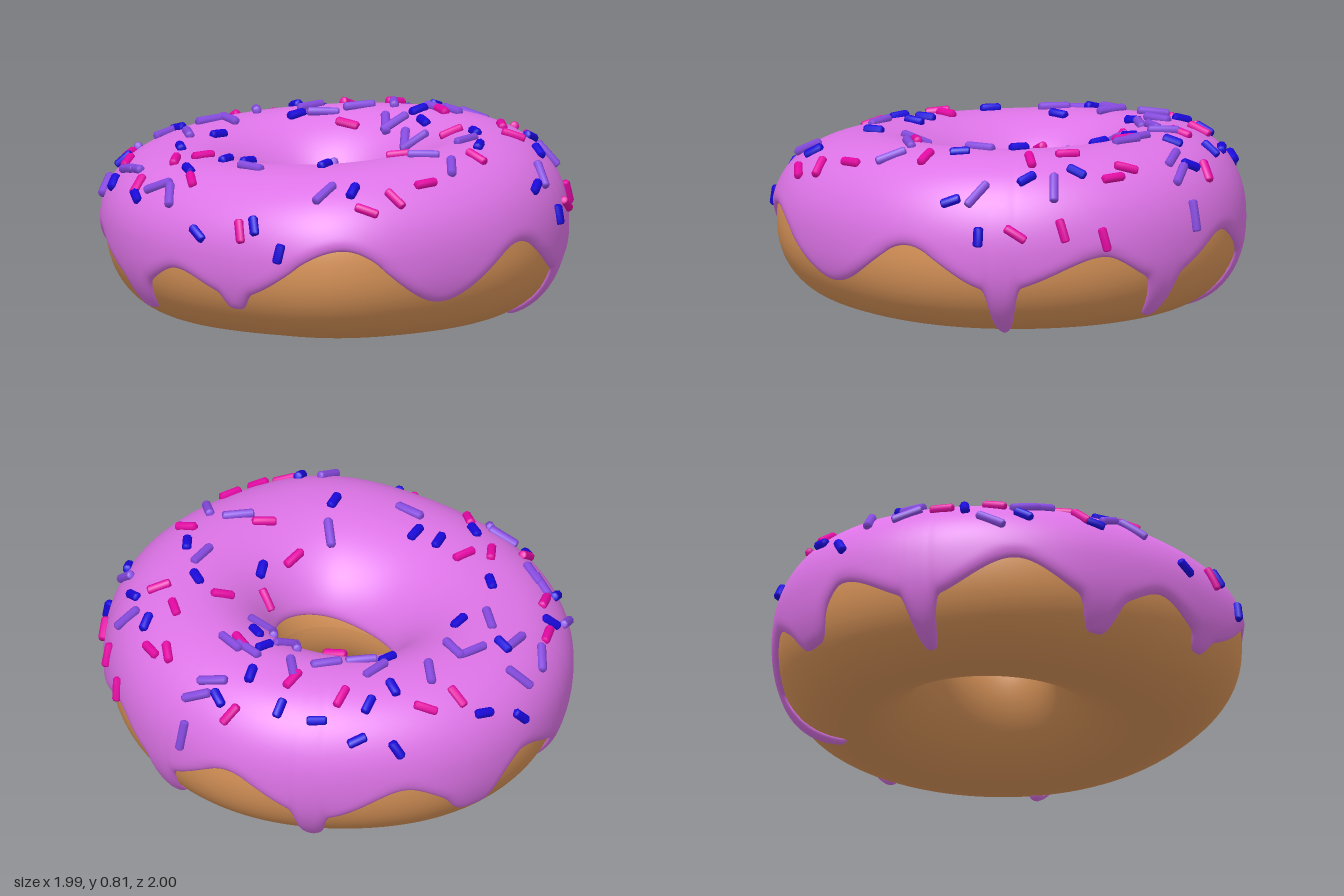
import * as THREE from 'three';

const RAD = Math.PI / 180;
const MID_Y = 0.395, ICING = 0.025;

const material = (name, color) => {
  const m = new THREE.MeshStandardMaterial({ color });
  m.name = name;
  return m;
};

// Smooth bump of height 1 around one direction of the ring
const bump = (theta, deg, sharp) => Math.exp(sharp * (Math.cos(theta - deg * RAD) - 1));

// Ring section at angle theta (0 = front, 90 = +x): centre radius, half width and heights of the dough
function section(theta) {
  const s = Math.sin(theta), c = Math.cos(theta);
  const outer = 1 / Math.hypot(s / 0.953, c / 0.975)
    + 0.07 * bump(theta, -53, 13) - 0.03 * bump(theta, 130, 8);
  const inner = 1 / Math.hypot(s / 0.23, c / 0.275) + 0.025 * s - 0.01 * c;
  // The back left sinks at the top and sags at the bottom
  const up = 0.373 - 0.075 * ((1 - Math.cos(theta - 45 * RAD)) / 2) ** 1.5;
  const down = 0.365 + 0.02 * Math.max(0, Math.cos(theta - 200 * RAD));
  return { mid: (outer + inner) / 2, half: (outer - inner) / 2, up, down };
}

// Surface point: phi runs 0 = outer side, 90 = top, 180 = hole, -90 = bottom
function surface(theta, phi, lift = 0) {
  const { mid, half, up, down } = section(theta);
  const c = Math.cos(phi), s = Math.sin(phi);
  const n = c > 0 ? 2.2 : 1.9, tall = s > 0 ? up : down;
  const pow = (v, e) => Math.sign(v) * Math.abs(v) ** e;
  const nr = pow(c, 2 - 2 / n) / half, ny = pow(s, 2 - 2 / n) / tall;
  const len = Math.hypot(nr, ny);
  const r = mid + half * pow(c, 2 / n) + lift * nr / len;
  const y = MID_Y + tall * pow(s, 2 / n) + lift * ny / len;
  const sx = Math.sin(theta), cz = Math.cos(theta);
  return {
    point: new THREE.Vector3(r * sx, y, r * cz),
    normal: new THREE.Vector3(nr * sx, ny, nr * cz).normalize(),
  };
}

// Grid closed around theta; at(i, j) gives the point in column i, row j
function ringGrid(cols, rows, at) {
  const pos = [], index = [];
  for (let i = 0; i < cols; i++) {
    for (let j = 0; j <= rows; j++) pos.push(...at(i, j).toArray());
  }
  for (let i = 0; i < cols; i++) {
    for (let j = 0; j < rows; j++) {
      const a = i * (rows + 1) + j, b = ((i + 1) % cols) * (rows + 1) + j;
      index.push(a, b, b + 1, a, b + 1, a + 1);
    }
  }
  const g = new THREE.BufferGeometry();
  g.setAttribute('position', new THREE.Float32BufferAttribute(pos, 3));
  g.setIndex(index);
  g.computeVertexNormals();
  return g;
}

// Wavy icing edge: peaks and troughs as [theta, phi] in degrees
const WAVES = [[-50, 11], [-24, -26], [1, 4], [24, -22], [52, -1], [70, -20], [93, 2], [118, -25],
  [140, -4], [161, -28], [175, -4], [198, -26], [222, -3], [246, -26], [264, -8], [282, -22], [310, 11]];
// Narrow runs of icing: [theta, half width, phi of the tip]
const DRIPS = [[25.5, 3.4, -72], [70.5, 4, -54], [115, 3.6, -82], [160, 6.5, -34],
  [197, 3.6, -64], [246, 5, -46], [282, 3.6, -32]];

function edgePhi(deg) {
  const t = ((deg + 50) % 360 + 360) % 360 - 50;
  const k = Math.max(1, WAVES.findIndex((w) => w[0] >= t));
  const [a, b] = [WAVES[k - 1], WAVES[k]];
  let phi = a[1] + (b[1] - a[1]) * THREE.MathUtils.smoothstep(t, a[0], b[0]);
  for (const [at, w, tip] of DRIPS) phi += (tip - phi) * Math.exp(-(((t - at) / w) ** 4));
  return phi * RAD;
}

function icingGeometry() {
  const COLS = 720, ROWS = 52, ROUND = 0.05;
  const step = 2 * Math.PI / COLS;
  const edge = Array.from({ length: COLS }, (_, i) => edgePhi(i * 360 / COLS));
  // Where the icing ends inside the hole
  const innerPhi = (i) => (172 - 8 * Math.cos(i * step - 35 * RAD)) * RAD;
  // Distance to the edge curve, measured along the surface
  const distance = (i, phi) => {
    let best = (innerPhi(i) - phi) * 0.39;
    for (let k = -14; k < 14; k++) {
      const ax = k * step * 0.85, bx = step * 0.85;
      const e0 = edge[(i + k + COLS) % COLS], e1 = edge[(i + k + 1 + COLS) % COLS];
      const ay = (e0 - phi) * 0.39, by = (e1 - e0) * 0.39;
      const u = THREE.MathUtils.clamp(-(ax * bx + ay * by) / (bx * bx + by * by), 0, 1);
      best = Math.min(best, Math.hypot(ax + u * bx, ay + u * by));
    }
    return best;
  };
  return ringGrid(COLS, ROWS, (i, j) => {
    const t = 0.5 - 0.5 * Math.cos(Math.PI * j / ROWS);
    const phi = edge[i] + (innerPhi(i) - edge[i]) * t;
    const d = Math.min(1, Math.max(0, distance(i, phi)) / ROUND);
    const lift = 0.001 + (ICING - 0.001) * Math.sqrt(1 - (1 - d) ** 2);
    return surface(i * step, phi, lift).point;
  });
}

// Sprinkles as triples: x and z in hundredths, turn in degrees seen from above
const VIOLET = [-20, -89, 35, -1, -90, -65, -15, -79, 0, 4, -70, -20, 8, -63, 65, 28, -64, 40,
  -20, -63, 45, -62, -62, 60, -65, -56, 60, -56, -78, 20, 41, -45, -10, 38, -36, -50,
  50, -26, -40, 61, -16, 40, 43, -6, 40, 44, -2, -25, 36, 10, 35, 34, 17, -60, 61, 6, 75,
  61, 15, 70, 81, 11, -75, 87, 15, -75, 95, 17, 160, -65, 6, 85, -82, -30, -80,
  -87, -20, 35, -35, 27, 40, -73, 52, -5, -18, 62, -50, 15, 59, 0, -18, 77, 40,
  57, 69, -60, 30, 87, 60];
const PINK = [-34, -83, 20, -52, -70, 20, -78, -44, 5, -62, -37, 30, -53, -29, -20, -80, -14, 45,
  30, -79, 80, 44, -72, -60, 63, -42, 5, 37, -22, -75, 67, -20, -5, 89, -3, -35,
  58, 12, 60, 9, 31, 70, -16, 33, -10, 32, 38, -40, 74, 38, 40, 73, 47, 60,
  52, 49, 45, 42, 63, -50, -21, 51, -50, -67, 70, -60, -54, 75, -85, -37, 78, -20,
  -1, 77, 90, 64, 74, 0, 48, 86, 22, 77, 61, 25, -95, 24, 50];
const BLUE = [9, -97, -30, 25, -89, -25, -9, -77, 75, -43, -79, -50, -65, -67, 20, -43, -49, 45,
  -12, -53, -5, 62, -69, -80, 46, -57, 60, 59, -53, 5, 71, -55, -40, 76, -38, -60,
  80, -22, 5, 30, -44, -15, 73, -3, 15, 55, 2, -15, 86, 5, 60, 46, 12, 60,
  -72, -22, 55, -55, -15, 10, -54, -4, 0, -83, -41, 50, -97, 3, 80, -93, 30, 50,
  -94, 44, -30, -51, 35, 10, 0, 39, 20, 11, 69, 30, 30, 52, 55, -65, 61, 15,
  46, 73, 60, 61, 57, 10, 20, 92, 25, 34, 93, -76];

function sprinkles(name, list, mat, length, radius) {
  const group = new THREE.Group();
  group.name = name;
  // Small rod with bevelled ends
  const h = length / 2, bevel = radius * 0.4;
  const profile = [[0, -h], [radius * 0.7, -h], [radius, bevel - h],
    [radius, h - bevel], [radius * 0.7, h], [0, h]];
  const geo = new THREE.LatheGeometry(profile.map(([x, y]) => new THREE.Vector2(x, y)), 8);
  const up = new THREE.Vector3(0, 1, 0);
  for (let i = 0; i < list.length; i += 3) {
    const x = list[i] / 100, z = list[i + 1] / 100, turn = list[i + 2] * RAD;
    const theta = Math.atan2(x, z), { mid, half } = section(theta);
    const u = THREE.MathUtils.clamp((Math.hypot(x, z) - mid) / (half + ICING), -0.99, 0.99);
    const phi = Math.acos(Math.sign(u) * Math.abs(u) ** (u > 0 ? 1.1 : 0.95));
    const { point, normal } = surface(theta, phi, ICING + 0.006);
    // Lie along the surface while keeping the turn seen from above
    const dir = new THREE.Vector3(Math.cos(turn), 0, -Math.sin(turn));
    dir.y = -(normal.x * dir.x + normal.z * dir.z) / Math.max(normal.y, 0.1);
    const mesh = new THREE.Mesh(geo, mat);
    mesh.name = 'sprinkle';
    mesh.position.copy(point);
    mesh.quaternion.setFromUnitVectors(up, dir.normalize());
    group.add(mesh);
  }
  return group;
}

export function createModel() {
  const group = new THREE.Group();
  group.name = 'doughnut';

  // Baked ring
  const D = 240, P = 80;
  const dough = new THREE.Mesh(
    ringGrid(D, P, (i, j) => surface(i * 2 * Math.PI / D, j * 2 * Math.PI / P - Math.PI).point),
    material('dough', 0xdc965a));
  dough.name = 'dough';

  // Glaze with drips
  const icingMat = material('icing', 0xde74e8);
  icingMat.side = THREE.DoubleSide;
  const icing = new THREE.Mesh(icingGeometry(), icingMat);
  icing.name = 'icing';

  group.add(dough, icing,
    sprinkles('violetSprinkles', VIOLET, material('violet', 0x874ae0), 0.135, 0.02),
    sprinkles('pinkSprinkles', PINK, material('pink', 0xe608a6), 0.103, 0.02),
    sprinkles('blueSprinkles', BLUE, material('blue', 0x1a08dc), 0.085, 0.021));
  return group;
}
